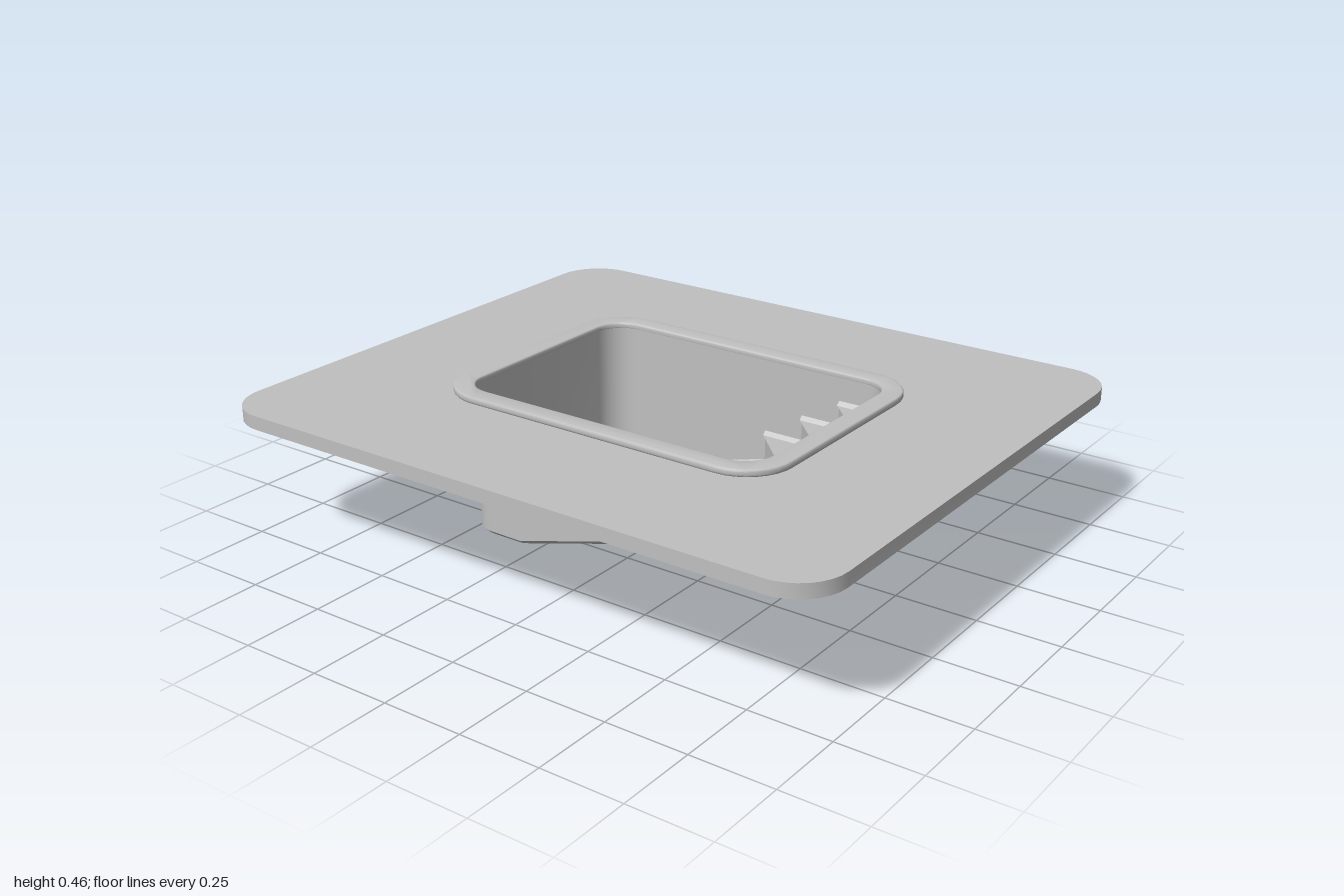
import * as THREE from 'three';
import { toCreasedNormals } from 'three/addons/utils/BufferGeometryUtils.js';

const W = 0.51, D = 0.365, R = 0.09;      // basin half width, half depth, corner radius
const RIM = 0.445, FILLET = 0.012;

// Rounded rectangle, counter-clockwise, in plan coordinates (x, -z)
function roundedRect(w, d, r, segments = 8) {
  const points = [];
  [[1, 1], [-1, 1], [-1, -1], [1, -1]].forEach(([sx, sy], corner) => {
    for (let i = 0; i <= segments; i++) {
      const a = (corner + i / segments) * Math.PI / 2;
      points.push(new THREE.Vector2(sx * (w - r) + r * Math.cos(a), sy * (d - r) + r * Math.sin(a)));
    }
  });
  return points;
}

// Flat ring with a rounded outline and a rounded hole, lying on y
function slab(outer, hole, y, height, bevel) {
  const shape = new THREE.Shape(outer);
  shape.holes.push(new THREE.Path(hole));
  const geometry = new THREE.ExtrudeGeometry(shape, {
    depth: height - 2 * bevel, bevelEnabled: bevel > 0, bevelSize: bevel,
    bevelThickness: bevel, bevelOffset: -bevel, bevelSegments: 3,
  });
  geometry.rotateX(-Math.PI / 2).translate(0, y + bevel, 0);
  return toCreasedNormals(geometry, 0.6);
}

// Keep the part of a convex polygon where nx * x + ny * y <= c
function clip(polygon, nx, ny, c) {
  const out = [];
  polygon.forEach((p, i) => {
    const q = polygon[(i + 1) % polygon.length];
    const dp = nx * p.x + ny * p.y - c, dq = nx * q.x + ny * q.y - c;
    if (dp <= 0) out.push(p);
    if (dp * dq < 0) out.push(p.clone().lerp(q, dp / (dp - dq)));
  });
  return out;
}

// Vector from the basin's inner core rectangle to a plan point
function fromCore(p) {
  const core = new THREE.Vector2(
    THREE.MathUtils.clamp(p.x, R - W, W - R), THREE.MathUtils.clamp(p.y, R - D, D - R));
  return p.clone().sub(core);
}
const onOutline = (p) => fromCore(p).length() > R - 0.002;
const inset = (p) => (onOutline(p) ? p.clone().sub(fromCore(p).setLength(FILLET)) : p);

// Pool floor: deep end, ramp, shallow end
function floorHeight(p) {
  return 0.125 * THREE.MathUtils.clamp((p.x + 0.31) / 0.45, 0, 1);
}

function basinGeometry() {
  const vertices = [];
  const tri = (...corners) => corners.forEach(([p, y]) => vertices.push(p.x, y, -p.y));
  const quad = (a, b, c, d) => { tri(a, b, c); tri(a, c, d); };

  // One floor region with its fillet, outer wall and the riser to the next step
  function region(polygon, height, edge, nextHeight) {
    const low = polygon.map((p) => [inset(p), height(p)]);
    for (let i = 1; i < low.length - 1; i++) tri(low[0], low[i], low[i + 1]);
    polygon.forEach((a, i) => {
      const j = (i + 1) % polygon.length, b = polygon[j];
      if (a.distanceTo(b) < 1e-5) return;
      if (onOutline(a.clone().lerp(b, 0.5))) {
        const ya = height(a) + FILLET, yb = height(b) + FILLET;
        quad(low[j], low[i], [a, ya], [b, yb]);
        quad([b, yb], [a, ya], [a, RIM], [b, RIM]);
      } else if (Math.abs(a.x + a.y - edge) < 1e-5 && Math.abs(b.x + b.y - edge) < 1e-5) {
        quad([b, height(b)], [a, height(a)], [a, nextHeight], [b, nextHeight]);
      }
    });
  }

  const outline = roundedRect(W, D, R);
  const edges = [0.437, 0.568, 0.697], treads = [0.202, 0.283, 0.36];

  // Floor strips
  const floor = clip(outline, 1, 1, edges[0]);
  [[-1, -0.31], [-0.31, 0.14], [0.14, 1]].forEach(([x0, x1]) => {
    region(clip(clip(floor, -1, 0, -x0), 1, 0, x1), floorHeight, edges[0], treads[0]);
  });

  // Diagonal corner steps
  treads.forEach((y, i) => {
    let tread = clip(outline, -1, -1, -edges[i]);
    if (i < 2) tread = clip(tread, 1, 1, edges[i + 1]);
    region(tread, () => y, edges[i + 1] ?? 9, treads[i + 1]);
  });

  const geometry = new THREE.BufferGeometry();
  geometry.setAttribute('position', new THREE.Float32BufferAttribute(vertices, 3));
  return toCreasedNormals(geometry, 0.6);
}

export function createModel() {
  const grey = new THREE.MeshStandardMaterial({ color: 0xc0c0c0, side: THREE.DoubleSide });
  grey.name = 'light grey';
  const model = new THREE.Group();
  model.name = 'swimmingPool';
  const add = (name, geometry) => {
    const mesh = new THREE.Mesh(geometry, grey);
    mesh.name = name;
    model.add(mesh);
  };

  add('deck', slab(roundedRect(1, 0.853, 0.145), roundedRect(W + 0.003, D + 0.003, R + 0.003), 0.398, 0.042, 0));
  add('coping', slab(roundedRect(0.574, 0.427, 0.15), roundedRect(W, D, R), 0.44, 0.022, 0.006));
  add('basinWithSteps', basinGeometry());
  return model;
}
